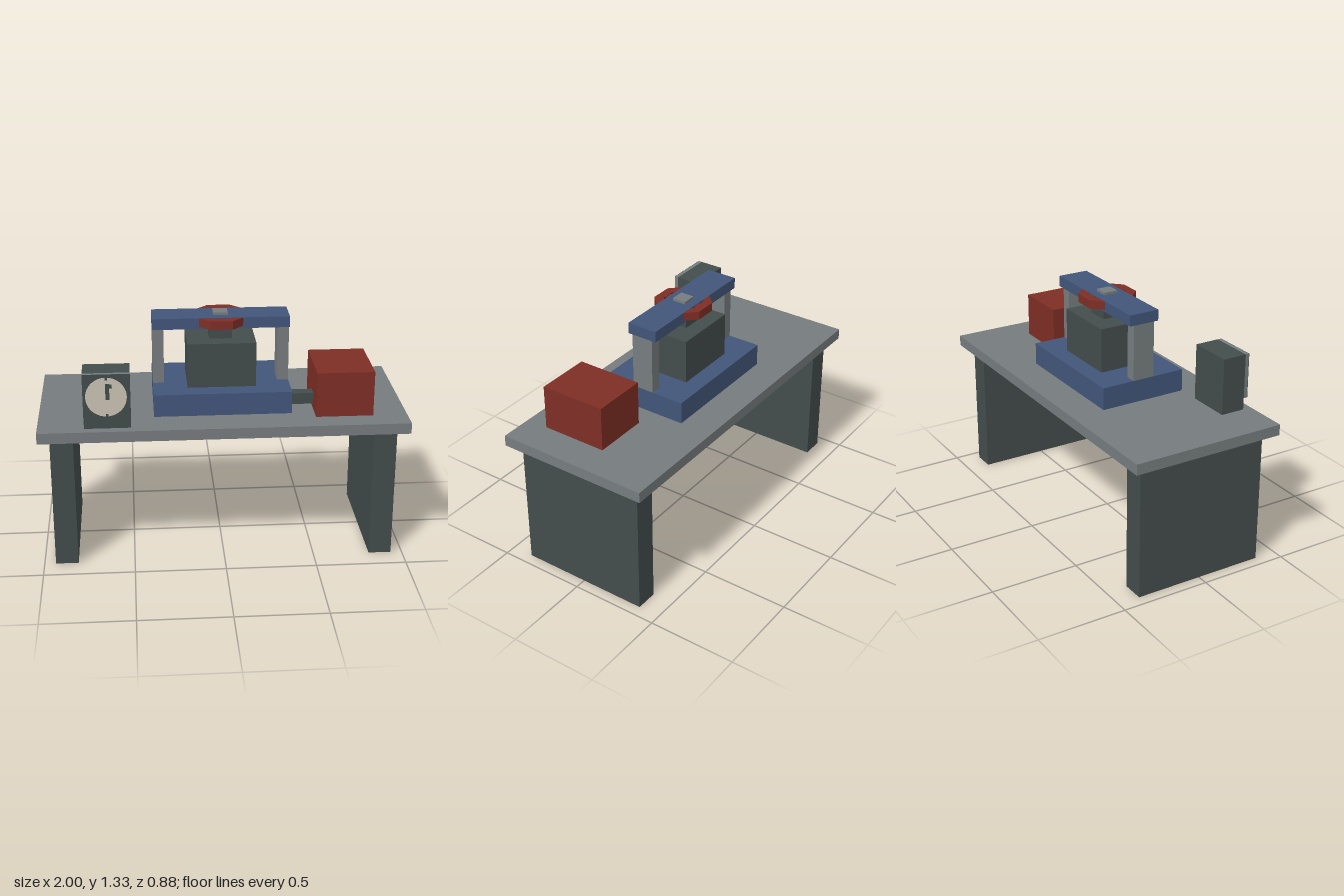
import * as THREE from 'three';

const material = (name, color) => {
  const m = new THREE.MeshStandardMaterial({ color });
  m.name = name;
  return m;
};

export function createModel() {
  const grey = material('brushed grey', 0x767c7e);
  const dark = material('dark iron', 0x434d4c);
  const blue = material('blue paint', 0x42567a);
  const red = material('red paint', 0x7e2e25);
  const cream = material('dial cream', 0xcbc3b5);

  const model = new THREE.Group();
  model.name = 'benchPress';

  const add = (parent, name, geometry, mat) => {
    const mesh = new THREE.Mesh(geometry, mat);
    mesh.name = name;
    parent.add(mesh);
    return mesh;
  };
  // Box given by its minimum and maximum corners
  const box = (parent, name, mat, [x0, y0, z0], [x1, y1, z1]) => {
    const g = new THREE.BoxGeometry(x1 - x0, y1 - y0, z1 - z0);
    g.translate((x0 + x1) / 2, (y0 + y1) / 2, (z0 + z1) / 2);
    return add(parent, name, g, mat);
  };

  // Table
  const table = new THREE.Group();
  table.name = 'table';
  model.add(table);
  box(table, 'tableTop', grey, [-1, 0.752, -0.4375], [1, 0.8125, 0.4375]);
  box(table, 'leftLeg', dark, [0.8125, 0, -0.375], [0.9375, 0.752, 0.375]);
  box(table, 'rightLeg', dark, [-0.9375, 0, -0.375], [-0.8125, 0.752, 0.375]);

  // Press frame
  const press = new THREE.Group();
  press.name = 'press';
  model.add(press);
  box(press, 'pressBase', blue, [-0.375, 0.8125, -0.25], [0.375, 0.9375, 0.25]);
  box(press, 'pressBlock', dark, [-0.1875, 0.9375, -0.15], [0.1875, 1.1875, 0.15]);
  box(press, 'ram', dark, [-0.0625, 1.1875, -0.0625], [0.0625, 1.255, 0.0625]);
  box(press, 'leftPost', grey, [0.3125, 0.9375, -0.0625], [0.374, 1.255, 0.0625]);
  box(press, 'rightPost', grey, [-0.374, 0.9375, -0.0625], [-0.3125, 1.255, 0.0625]);
  box(press, 'crossBeam', blue, [-0.375, 1.252, -0.0875], [0.375, 1.3135, 0.0875]);
  box(press, 'spindleCap', grey, [-0.04, 1.3, -0.04], [0.04, 1.328, 0.04]);

  // Octagonal hand wheel set into the beam
  const wheel = new THREE.Group();
  wheel.name = 'handWheel';
  press.add(wheel);
  const octagon = (apothem) => Array.from({ length: 8 }, (_, i) => {
    const a = (i + 0.5) * Math.PI / 4, r = apothem / Math.cos(Math.PI / 8);
    return new THREE.Vector2(r * Math.cos(a), r * Math.sin(a));
  });
  const rimShape = new THREE.Shape(octagon(0.147));
  rimShape.holes.push(new THREE.Path(octagon(0.1)));
  const rim = new THREE.ExtrudeGeometry(rimShape, { depth: 0.047, bevelEnabled: false });
  rim.rotateX(-Math.PI / 2).translate(0, 1.2655, 0);
  add(wheel, 'wheelRim', rim, red);
  box(wheel, 'longSpoke', red, [-0.02, 1.27, -0.11], [0.02, 1.31, 0.11]);
  box(wheel, 'crossSpoke', red, [-0.11, 1.27, -0.02], [0.11, 1.31, 0.02]);

  // Drive unit and its coupling
  const drive = new THREE.Group();
  drive.name = 'driveUnit';
  model.add(drive);
  box(drive, 'driveHousing', red, [0.5, 0.8125, -0.0625], [0.8125, 1.0635, 0.3125]);
  box(drive, 'coupling', dark, [0.375, 0.84, 0.125], [0.5, 0.903, 0.1875]);

  // Dial gauge
  const gauge = new THREE.Group();
  gauge.name = 'gauge';
  model.add(gauge);
  box(gauge, 'gaugeCase', dark, [-0.75, 0.8125, 0.25], [-0.5, 1.1265, 0.388]);
  box(gauge, 'gaugeFrame', grey, [-0.75, 0.877, 0.388], [-0.5, 1.1265, 0.409]);
  box(gauge, 'gaugeFace', dark, [-0.75, 0.877, 0.409], [-0.5, 1.1265, 0.411]);
  const dial = new THREE.CylinderGeometry(0.109, 0.109, 0.002, 40);
  dial.rotateX(Math.PI / 2).translate(-0.627, 1, 0.412);
  add(gauge, 'dialFace', dial, cream);
  box(gauge, 'needle', dark, [-0.63, 0.985, 0.412], [-0.609, 1.075, 0.4145]);
  box(gauge, 'needleTip', dark, [-0.609, 1.05, 0.412], [-0.595, 1.07, 0.4145]);
  box(gauge, 'topTick', dark, [-0.63, 1.095, 0.412], [-0.618, 1.11, 0.4145]);
  box(gauge, 'bottomTick', dark, [-0.63, 0.89, 0.412], [-0.618, 0.905, 0.4145]);

  return model;
}
